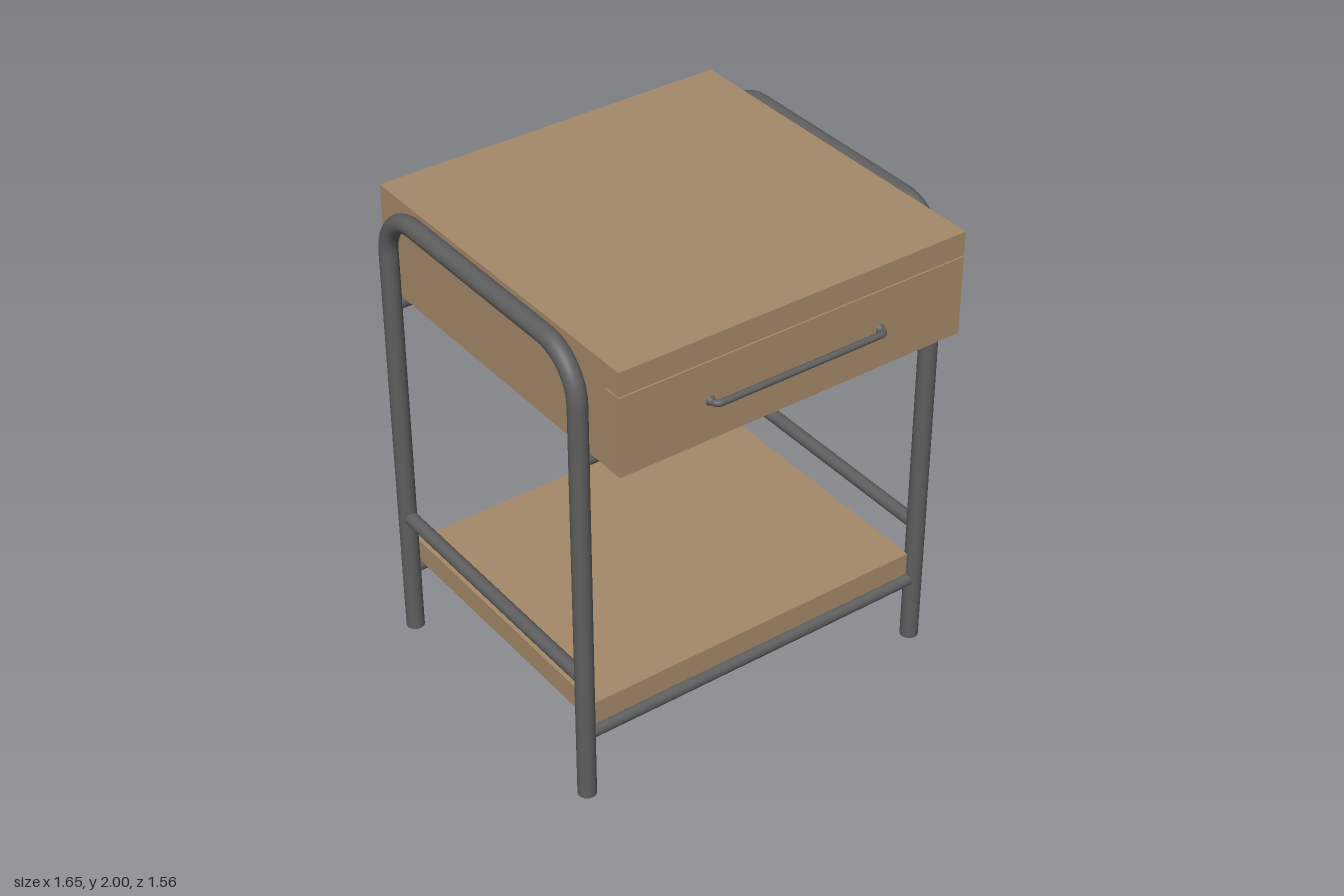
import * as THREE from 'three';

export function createModel() {
  const model = new THREE.Group();
  model.name = 'sideTable';
  const wood = new THREE.MeshStandardMaterial({ color: 0xa68a6a });
  wood.name = 'wood';
  const metal = new THREE.MeshStandardMaterial({ color: 0x5e5e5e });
  metal.name = 'darkMetal';

  const add = (name, geometry, material, parent = model) => {
    const mesh = new THREE.Mesh(geometry, material);
    mesh.name = name;
    parent.add(mesh);
    return mesh;
  };

  // Board given by its lower and upper corner
  const board = (name, [x0, y0, z0], [x1, y1, z1], parent) => {
    const mesh = add(name, new THREE.BoxGeometry(x1 - x0, y1 - y0, z1 - z0), wood, parent);
    mesh.position.set((x0 + x1) / 2, (y0 + y1) / 2, (z0 + z1) / 2);
    return mesh;
  };

  // Straight round bar between two points
  const bar = (name, a, b, radius, parent) => {
    const from = new THREE.Vector3(...a), to = new THREE.Vector3(...b);
    const mesh = add(name, new THREE.CylinderGeometry(radius, radius, from.distanceTo(to), 20), metal, parent);
    mesh.position.copy(from).add(to).multiplyScalar(0.5);
    mesh.quaternion.setFromUnitVectors(new THREE.Vector3(0, 1, 0), to.sub(from).normalize());
    return mesh;
  };

  // Open path with rounded corners
  const roundedPath = (points, radius) => {
    const p = points.map((q) => new THREE.Vector3(...q));
    const path = new THREE.CurvePath();
    const k = 0.5523;
    let start = p[0];
    for (let i = 1; i < p.length - 1; i++) {
      const back = p[i - 1].clone().sub(p[i]).normalize();
      const ahead = p[i + 1].clone().sub(p[i]).normalize();
      const at = (dir, d) => p[i].clone().addScaledVector(dir, d);
      const a = at(back, radius), b = at(ahead, radius);
      path.add(new THREE.LineCurve3(start, a));
      path.add(new THREE.CubicBezierCurve3(a, at(back, radius * (1 - k)), at(ahead, radius * (1 - k)), b));
      start = b;
    }
    path.add(new THREE.LineCurve3(start, p[p.length - 1]));
    return path;
  };

  const W = 0.755, LEG_X = 0.79, LEG_R = 0.037, BAR_R = 0.028;
  const FRONT = 0.535, BACK = -0.69;

  // Bent tube frames with end caps and side rails
  for (const [side, s] of [['left', 1], ['right', -1]]) {
    const frame = new THREE.Group();
    frame.name = side + 'Frame';
    model.add(frame);
    const x = s * LEG_X, top = 2 - LEG_R;
    const path = roundedPath([[x, 0, FRONT], [x, top, FRONT], [x, top, BACK], [x, 0, BACK]], 0.19);
    add('bentTube', new THREE.TubeGeometry(path, 200, LEG_R, 24), metal, frame);
    for (const z of [FRONT, BACK]) {
      const cap = add('legEnd', new THREE.CircleGeometry(LEG_R, 24), metal, frame);
      cap.rotation.x = Math.PI / 2;
      cap.position.set(x, 0, z);
    }
    bar('sideRail', [x, 0.555, FRONT], [x, 0.555, BACK], BAR_R, frame);
  }

  // Cross rails under the case and the shelf
  for (const [end, z] of [['front', FRONT], ['back', BACK]]) {
    bar(end + 'UpperRail', [-LEG_X, 1.542, z], [LEG_X, 1.542, z], BAR_R);
    bar(end + 'LowerRail', [-LEG_X, 0.292, z], [LEG_X, 0.292, z], BAR_R);
  }

  board('shelf', [-W, 0.32, BACK], [W, 0.42, FRONT]);

  // Case: open at the front behind the drawer
  const box = new THREE.Group();
  box.name = 'case';
  model.add(box);
  const T = 0.045;
  board('top', [-W, 1.902, -0.783], [W, 2, 0.73], box);
  board('bottom', [-W, 1.57, -0.783], [W, 1.57 + T, 0.64], box);
  board('backPanel', [-W, 1.57 + T, -0.783], [W, 1.902, -0.783 + T], box);
  for (const s of [1, -1]) {
    const x = s * (W - T / 2);
    board('sidePanel', [x - T / 2, 1.57 + T, -0.783 + T], [x + T / 2, 1.902, 0.64], box);
  }

  // Drawer: front panel with a tray behind it
  const drawer = new THREE.Group();
  drawer.name = 'drawer';
  model.add(drawer);
  board('drawerFront', [-W, 1.57, 0.648], [W, 1.896, 0.73], drawer);
  board('drawerFloor', [-0.69, 1.62, -0.7], [0.69, 1.65, 0.648], drawer);
  board('drawerBack', [-0.69, 1.65, -0.7], [0.69, 1.85, -0.67], drawer);
  for (const s of [1, -1]) {
    board('drawerSide', [s * 0.675 - 0.015, 1.65, -0.67], [s * 0.675 + 0.015, 1.85, 0.648], drawer);
  }

  // Handle: bent rod with flared feet
  const handle = new THREE.Group();
  handle.name = 'handle';
  drawer.add(handle);
  const hx = 0.375, hy = 1.735, hz = 0.763;
  const rod = roundedPath([[-hx, hy, 0.728], [-hx, hy, hz], [hx, hy, hz], [hx, hy, 0.728]], 0.022);
  add('handleRod', new THREE.TubeGeometry(rod, 120, 0.013, 16), metal, handle);
  for (const s of [1, -1]) {
    const foot = add('handleFoot', new THREE.CylinderGeometry(0.013, 0.02, 0.016, 20), metal, handle);
    foot.rotation.x = Math.PI / 2;
    foot.position.set(s * hx, hy, 0.737);
  }

  return model;
}
